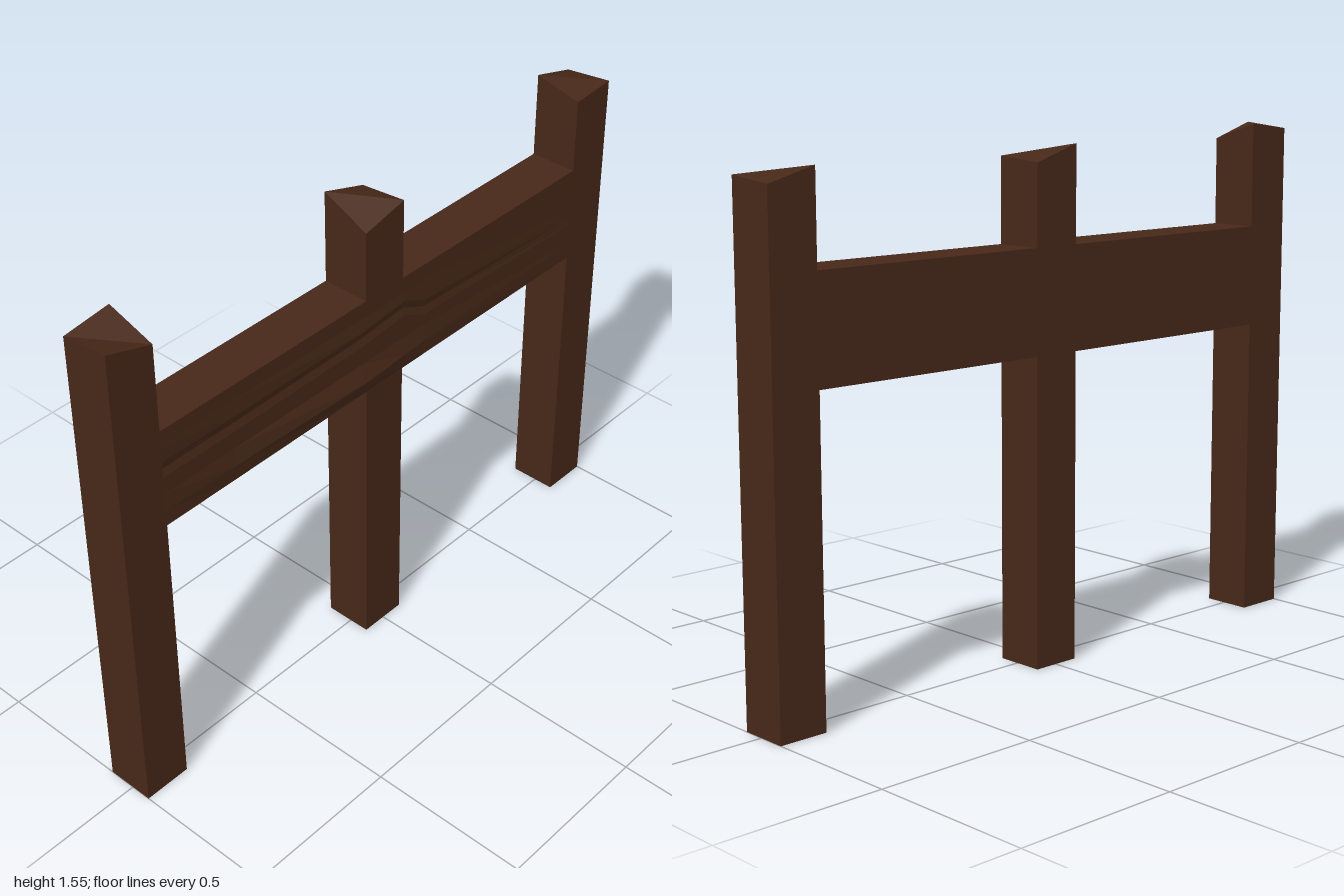
import * as THREE from 'three';

const X0 = -0.085, X1 = 0.065;          // shared thickness of posts and rail
const RAIL_LOW = 0.925, RAIL_HIGH = 1.235;

const wood = new THREE.MeshStandardMaterial({ color: 0x472818, flatShading: true });

// Square timber; tops = corner heights in order [-x+z, +x+z, +x-z, -x-z]
function timber(name, z0, z1, bottom, tops) {
  const geo = new THREE.BoxGeometry(1, 1, 1);
  const p = geo.attributes.position;
  for (let i = 0; i < p.count; i++) {
    const right = p.getX(i) > 0, front = p.getZ(i) > 0, up = p.getY(i) > 0;
    const corner = front ? (right ? 1 : 0) : (right ? 2 : 3);
    p.setXYZ(i, right ? X1 : X0, up ? tops[corner] : bottom, front ? z1 : z0);
  }
  geo.computeVertexNormals();
  const mesh = new THREE.Mesh(geo, wood);
  mesh.name = name;
  return mesh;
}

// Rail lofted along z, with a hewn ridge and a shallow groove on its +x face
function rail() {
  // each station: z, ridge height, groove depth, groove centre y
  const stations = [
    [-0.85, 0, 0, 1.07],
    [-0.17, 0.004, 0.004, 1.09],
    [-0.08, 0.008, 0.005, 1.13],
    [0.1, 0.018, 0.005, 1.115],
    [0.6, 0.006, 0.005, 1.11],
    [0.85, 0, 0.005, 1.11],
  ];
  const sections = stations.map(([z, ridge, groove, gy]) => [
    [X0, RAIL_LOW], [X1, RAIL_LOW],
    [X1 + ridge, 0.975], [X1, 1.03],
    [X1, gy - 0.025], [X1 - groove, gy], [X1 + ridge * 0.2, gy + 0.025],
    [X1, RAIL_HIGH - 0.05], [X1, RAIL_HIGH], [X0, RAIL_HIGH],
  ].map(([x, y]) => [x, y, z]));

  const verts = [];
  for (let s = 0; s < sections.length - 1; s++) {
    const n = sections[s].length;
    for (let i = 0; i < n; i++) {
      const j = (i + 1) % n;
      const a = sections[s][i], b = sections[s][j];
      const c = sections[s + 1][j], d = sections[s + 1][i];
      verts.push(...a, ...b, ...c, ...a, ...c, ...d);
    }
  }
  const geo = new THREE.BufferGeometry();
  geo.setAttribute('position', new THREE.Float32BufferAttribute(verts, 3));
  geo.computeVertexNormals();
  const mesh = new THREE.Mesh(geo, wood);
  mesh.name = 'rail';
  return mesh;
}

export function createModel() {
  const fence = new THREE.Group();
  fence.name = 'fence';

  // End posts with roughly cut tops
  fence.add(timber('frontPost', 0.85, 1, 0, [1.535, 1.55, 1.503, 1.553]));
  fence.add(timber('backPost', -1, -0.85, 0, [1.503, 1.467, 1.478, 1.462]));

  // Middle post, interrupted by the rail
  const middle = new THREE.Group();
  middle.name = 'middlePost';
  middle.add(timber('middlePostLower', -0.075, 0.078, 0, Array(4).fill(RAIL_LOW)));
  middle.add(timber('middlePostUpper', -0.075, 0.078, RAIL_HIGH, [1.522, 1.452, 1.487, 1.474]));
  fence.add(middle);

  fence.add(rail());
  return fence;
}
